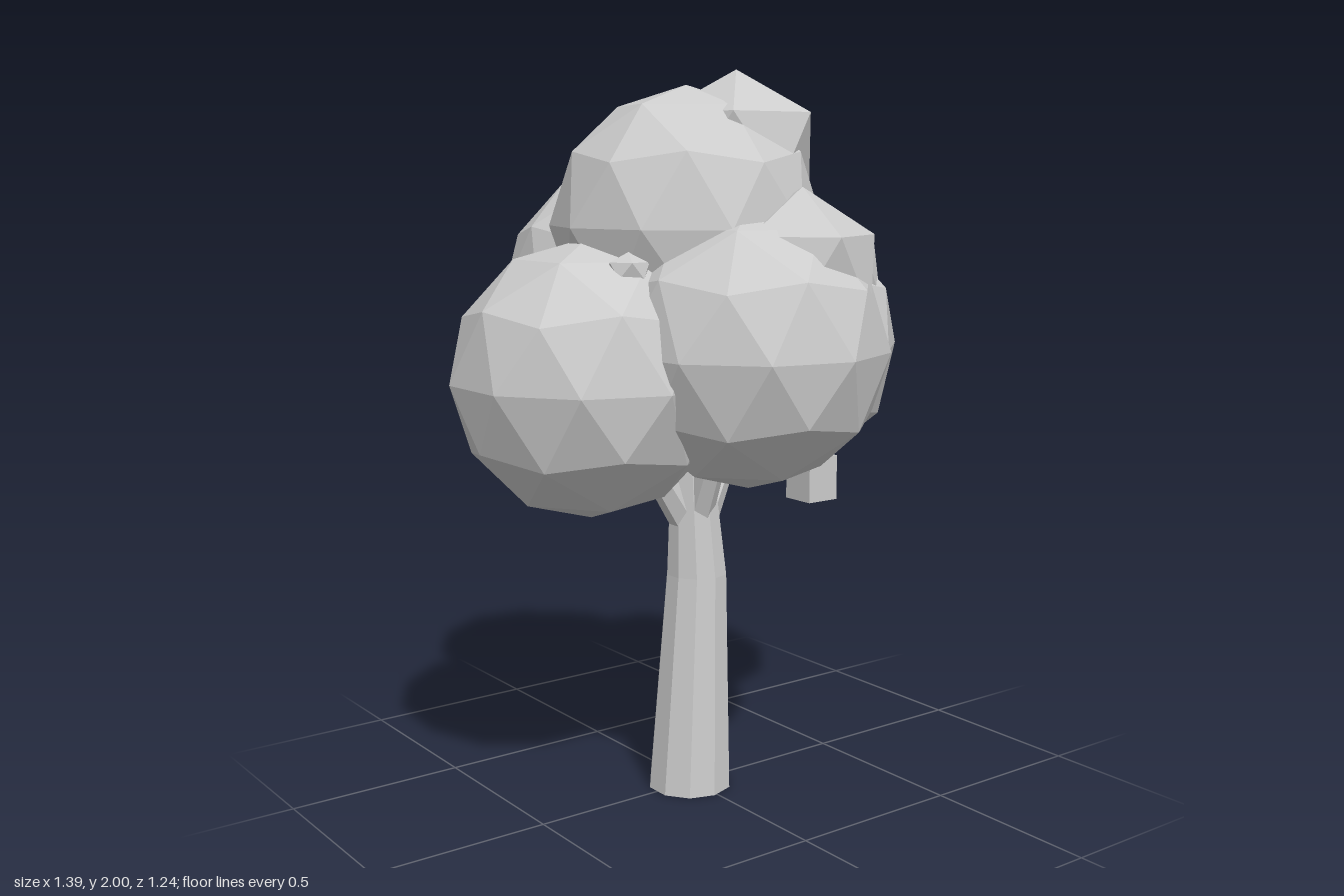
import * as THREE from 'three';

const grey = new THREE.MeshStandardMaterial({ color: 0xcccccc, flatShading: true });
grey.name = 'pale grey';

export function createModel() {
  const tree = new THREE.Group();
  tree.name = 'tree';

  const add = (name, geometry) => {
    const mesh = new THREE.Mesh(geometry, grey);
    mesh.name = name;
    tree.add(mesh);
    return mesh;
  };

  // Faceted ball standing on one of its corners, turned about the vertical
  const ball = (name, [x, y, z], rx, ry, turn, detail) => {
    const g = new THREE.IcosahedronGeometry(1, detail);
    g.rotateZ(Math.atan(2 / (1 + Math.sqrt(5))));
    g.rotateY(Math.PI + THREE.MathUtils.degToRad(turn));
    g.scale(rx, ry, rx);
    add(name, g).position.set(x, y, z);
  };

  // Main foliage
  const crowns = [
    ['leftFoliage', [0.335, 1.24, -0.07], 24],
    ['rightFoliage', [-0.335, 1.195, 0], 0],
    ['frontFoliage', [0, 1.275, 0.25], 6],
    ['backFoliage', [-0.02, 1.39, -0.255], -6],
    ['topFoliage', [-0.02, 1.59, 0], -18],
  ];
  for (const [name, p, turn] of crowns) ball(name, p, 0.37, 0.37, turn, 1);

  // Coarse leaf clumps sitting on the foliage
  ball('topLeafClump', [0.09, 1.795, 0.075], 0.233, 0.205, 14, 0);
  ball('frontLeafClump', [0.095, 1.475, 0.345], 0.215, 0.22, 44, 0);
  ball('leftLeafClump', [0.395, 1.462, 0.022], 0.235, 0.208, -14, 0);

  // Small buds
  ball('rightBud', [-0.325, 1.49, 0.17], 0.06, 0.045, 30, 0);
  ball('backBud', [0.25, 1.68, -0.24], 0.042, 0.042, 10, 0);

  // Trunk: tapering rings with a slight sideways lean [y, centre x, radius]
  const rings = [[0, -0.01, 0.119], [0.62, 0.015, 0.087], [0.92, 0, 0.063], [1.25, -0.01, 0.045]];
  const trunk = new THREE.CylinderGeometry(1, 1, 3, 10, 3);
  const pos = trunk.attributes.position;
  for (let i = 0; i < pos.count; i++) {
    const [y, cx, r] = rings[Math.round(pos.getY(i) + 1.5)];
    pos.setXYZ(i, cx + pos.getX(i) * r, y, pos.getZ(i) * r);
  }
  add('trunk', trunk);

  // Branches reaching from the trunk into the foliage
  const up = new THREE.Vector3(0, 1, 0);
  const branches = [
    ['leftBranch', [0.05, 0.78, -0.01], [0.25, 1.15, -0.05]],
    ['rightBranch', [-0.03, 0.78, 0], [-0.25, 1.12, 0]],
    ['frontBranch', [0, 0.8, 0.03], [0, 1.15, 0.18]],
    ['backBranch', [0, 0.82, -0.03], [-0.01, 1.2, -0.18]],
  ];
  for (const [name, a, b] of branches) {
    const from = new THREE.Vector3(...a);
    const along = new THREE.Vector3(...b).sub(from);
    const branch = add(name, new THREE.CylinderGeometry(0.03, 0.042, along.length(), 6));
    branch.position.copy(from).addScaledVector(along, 0.5);
    branch.quaternion.setFromUnitVectors(up, along.normalize());
  }

  // Little box hanging under the foliage
  add('hangingBox', new THREE.BoxGeometry(0.1, 0.125, 0.1)).position.set(0.295, 0.8875, 0.165);

  return tree;
}
